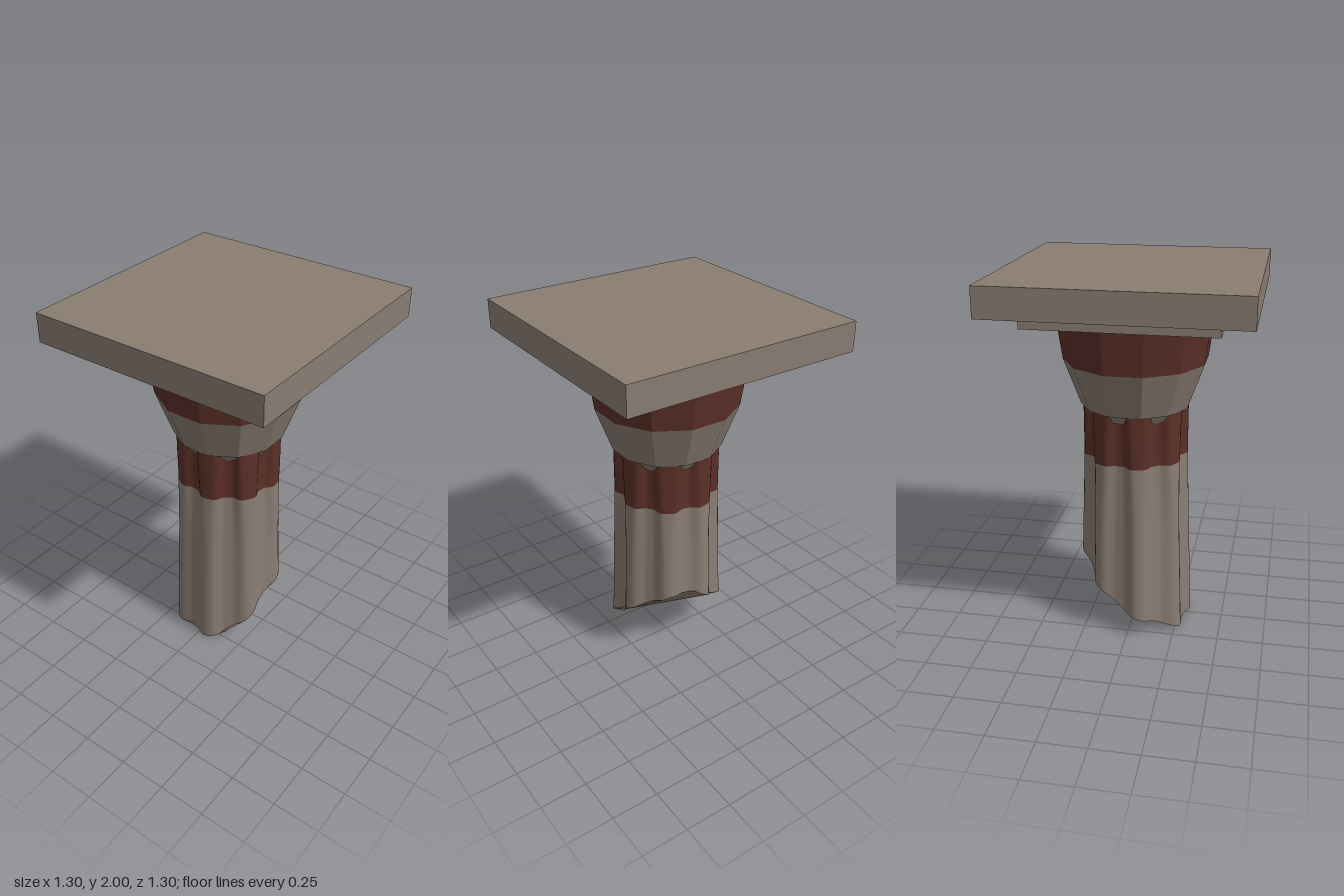
import * as THREE from 'three';

const stone = new THREE.MeshStandardMaterial({ color: 0x8a7d72 });
const stoneFlat = new THREE.MeshStandardMaterial({ color: 0x8a7d72, flatShading: true });
const brokenStone = new THREE.MeshStandardMaterial({ color: 0x8a7d72, flatShading: true, side: THREE.DoubleSide });
const red = new THREE.MeshStandardMaterial({ color: 0x5c3028 });
const redFlat = new THREE.MeshStandardMaterial({ color: 0x5c3028, flatShading: true });

const COLS = 120;
const BAND_TOP = 1.275, BAND_BOTTOM = 0.99;
// Height of the broken rim every 30 degrees, from the front round through +x
const RIM = [0.29, 0.38, 0.46, 0.45, 0.35, 0.26, 0.13, 0.07, 0, 0, 0.03, 0.17];

function rimHeight(deg) {
  const t = deg / 30, i = Math.floor(t) % 12;
  return THREE.MathUtils.lerp(RIM[i], RIM[(i + 1) % 12], t - Math.floor(t));
}

// Point on the fluted shaft: eight grooves that widen and soften downwards
function shaftPoint(deg, y) {
  const fall = Math.max(0, BAND_BOTTOM - y);
  const offset = Math.abs((((deg + 10) % 45) + 45 + 22.5) % 45 - 22.5);
  const wide = 12 + 8 * Math.min(1, (BAND_TOP - y) / 0.6);
  const groove = 1 - THREE.MathUtils.smoothstep(offset, 4, wide);
  const r = 0.282 + 0.036 * fall - 0.036 * groove;
  const a = THREE.MathUtils.degToRad(deg);
  return [r * Math.sin(a), y, r * Math.cos(a)];
}

// Closed tube of shaft between a top height and a bottom height per angle
function shaftGeometry(top, bottomAt, rows) {
  const pos = [], index = [];
  for (let j = 0; j <= rows; j++) {
    for (let i = 0; i < COLS; i++) {
      const deg = i * 360 / COLS;
      pos.push(...shaftPoint(deg, THREE.MathUtils.lerp(top, bottomAt(deg), j / rows)));
    }
  }
  for (let j = 0; j < rows; j++) {
    for (let i = 0; i < COLS; i++) {
      const k = (i + 1) % COLS;
      const a = j * COLS + i, b = a + COLS, c = (j + 1) * COLS + k, d = j * COLS + k;
      index.push(a, b, c, a, c, d);
    }
  }
  const g = new THREE.BufferGeometry();
  g.setAttribute('position', new THREE.Float32BufferAttribute(pos, 3));
  g.setIndex(index);
  g.computeVertexNormals();
  return g;
}

// Fracture surface fanned from the low edge of the rim
function fractureGeometry() {
  const pos = [], index = [];
  const start = 295;
  for (let i = 0; i < COLS; i++) {
    const deg = (start + i * 360 / COLS) % 360;
    pos.push(...shaftPoint(deg, rimHeight(deg)));
  }
  for (let i = 1; i < COLS - 1; i++) index.push(0, i + 1, i);
  const g = new THREE.BufferGeometry();
  g.setAttribute('position', new THREE.Float32BufferAttribute(pos, 3));
  g.setIndex(index);
  g.computeVertexNormals();
  return g;
}

export function createModel() {
  const model = new THREE.Group();
  model.name = 'brokenColumn';

  const add = (name, geometry, material, y = 0) => {
    const mesh = new THREE.Mesh(geometry, material);
    mesh.name = name;
    mesh.position.y = y;
    model.add(mesh);
    return mesh;
  };

  // Square slabs on top
  const slab = (name, width, bottom, top) =>
    add(name, new THREE.BoxGeometry(width, top - bottom, width), stoneFlat, (top + bottom) / 2);
  slab('topSlab', 1.3, 1.845, 2);
  slab('lowerSlab', 0.97, 1.765, 1.845);

  // Twelve-sided flared capital
  const drum = (name, rTop, rBottom, bottom, top, material) => {
    const g = new THREE.CylinderGeometry(rTop, rBottom, top - bottom, 12);
    g.rotateY(Math.PI / 12);
    add(name, g, material, (top + bottom) / 2);
  };
  drum('capitalRedBand', 0.42, 0.385, 1.52, 1.765, redFlat);
  drum('capitalFlare', 0.385, 0.295, BAND_TOP, 1.52, stoneFlat);
  drum('capitalFoot', 0.285, 0.258, 1.23, BAND_TOP, stoneFlat);

  // Fluted shaft with its painted band and broken end
  add('shaftRedBand', shaftGeometry(BAND_TOP, () => BAND_BOTTOM, 6), red);
  add('shaft', shaftGeometry(BAND_BOTTOM, rimHeight, 16), stone);
  add('brokenEnd', fractureGeometry(), brokenStone);

  return model;
}
